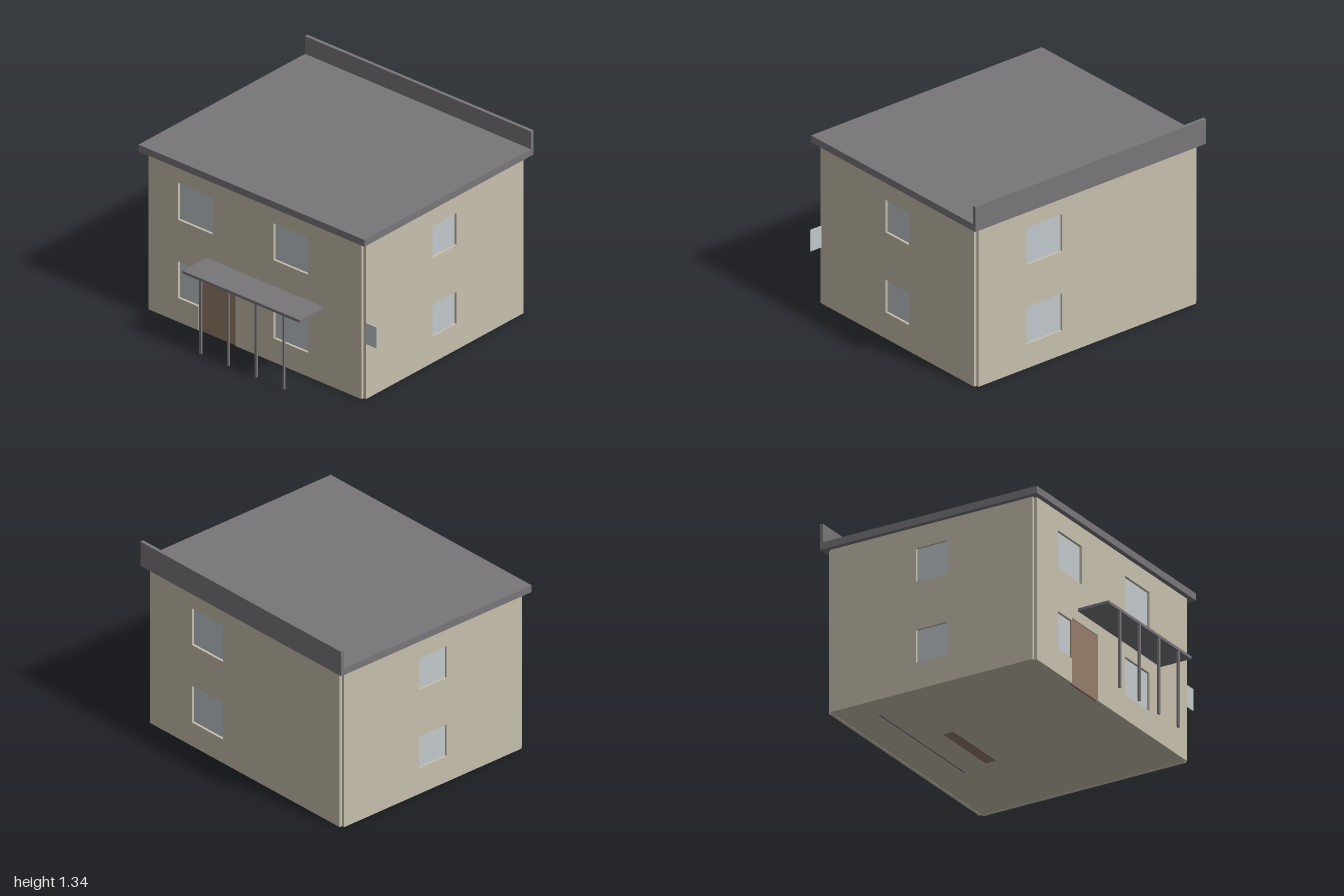
import * as THREE from 'three';

const material = (name, color) => {
  const m = new THREE.MeshStandardMaterial({ color });
  m.name = name;
  return m;
};

export function createModel() {
  const house = new THREE.Group();
  house.name = 'house';
  const plaster = material('beige plaster', 0xc6bfac);
  const slate = material('dark grey', 0x79767a);
  const glass = material('pale glass', 0xc2c8cc);
  const timber = material('brown timber', 0x937d69);

  const H = 1.155; // wall height
  const T = 0.02;  // wall thickness

  // Box given by its lower and upper corners
  function box(name, mat, [x0, y0, z0], [x1, y1, z1], parent = house) {
    const mesh = new THREE.Mesh(new THREE.BoxGeometry(x1 - x0, y1 - y0, z1 - z0), mat);
    mesh.position.set((x0 + x1) / 2, (y0 + y1) / 2, (z0 + z1) / 2);
    mesh.name = name;
    parent.add(mesh);
    return mesh;
  }

  // Wall slab facing local +z, with window openings [u0, v0, u1, v1] and recessed panes
  function wall(name, u0, u1, windows, notch = []) {
    const group = new THREE.Group();
    group.name = name;
    const points = [[u0, 0], ...notch, [u1, 0], [u1, H], [u0, H]];
    const shape = new THREE.Shape(points.map(([x, y]) => new THREE.Vector2(x, y)));
    for (const [a, b, c, d, open] of windows) {
      if (!open) {
        shape.holes.push(new THREE.Path([[a, b], [a, d], [c, d], [c, b]]
          .map(([x, y]) => new THREE.Vector2(x, y))));
      }
      box('windowPane', glass, [a, b, -0.004], [c, d, 0.002], group);
    }
    const slab = new THREE.Mesh(
      new THREE.ExtrudeGeometry(shape, { depth: T, bevelEnabled: false }), plaster);
    slab.name = name + 'Slab';
    group.add(slab);
    house.add(group);
    return group;
  }

  // Front wall: the doorway merges with the lower window beside it
  const front = wall('frontWall', -0.945, 0.885, [
    [-0.69, 0.75, -0.395, 1.02],
    [0.13, 0.75, 0.425, 1.02],
    [0.13, 0.175, 0.425, 0.445],
    [-0.69, 0.175, -0.515, 0.445, true],
  ], [
    [-0.515, 0], [-0.515, 0.175], [-0.69, 0.175], [-0.69, 0.445],
    [-0.515, 0.445], [-0.515, 0.465], [-0.2, 0.465], [-0.2, 0],
  ]);
  front.position.z = 0.67;
  box('door', timber, [-0.515, 0, 0.668], [-0.2, 0.465, 0.683]);

  // Back wall with one column of windows
  const back = wall('backWall', -0.885, 0.945, [
    [-0.48, 0.75, -0.18, 1.02],
    [-0.48, 0.175, -0.18, 0.445],
  ]);
  back.rotation.y = Math.PI;
  back.position.z = -0.87;

  // Side walls; the slabs meet in small notched corners
  const left = wall('leftWall', -0.67, 0.87, [
    [-0.02, 0.77, 0.215, 1.005],
    [-0.02, 0.19, 0.215, 0.425],
  ]);
  left.rotation.y = Math.PI / 2;
  left.position.x = 0.885;
  const right = wall('rightWall', -0.87, 0.67, [
    [-0.215, 0.77, 0.02, 1.005],
    [-0.215, 0.19, 0.02, 0.425],
  ]);
  right.rotation.y = -Math.PI / 2;
  right.position.x = -0.945;

  // Small pane standing out from the side
  box('sidePane', glass, [0.87, 0.405, 0.664], [0.995, 0.56, 0.67]);

  // Floor with thin inlays on its underside
  box('floor', plaster, [-0.945, 0.002, -0.87], [0.885, 0.02, 0.67]);
  box('floorPanel', timber, [-0.29, 0, -0.43], [0.23, 0.004, -0.35]);
  box('floorStrip', slate, [-0.76, 0, -0.626], [0.28, 0.004, -0.614]);

  // Flat roof with a parapet along the back
  box('roof', slate, [-1, H, -0.925], [0.94, 1.205, 0.725]);
  box('parapet', slate, [-1, 1.205, -0.925], [0.94, 1.335, -0.9]);

  // Porch canopy on slim posts
  box('canopy', slate, [-0.445, 0.54, 0.69], [0.56, 0.56, 0.925]);
  for (const x of [-0.298, -0.06, 0.178, 0.417]) {
    box('canopyPost', slate, [x - 0.008, 0, 0.908], [x + 0.008, 0.54, 0.923]);
  }

  return house;
}
